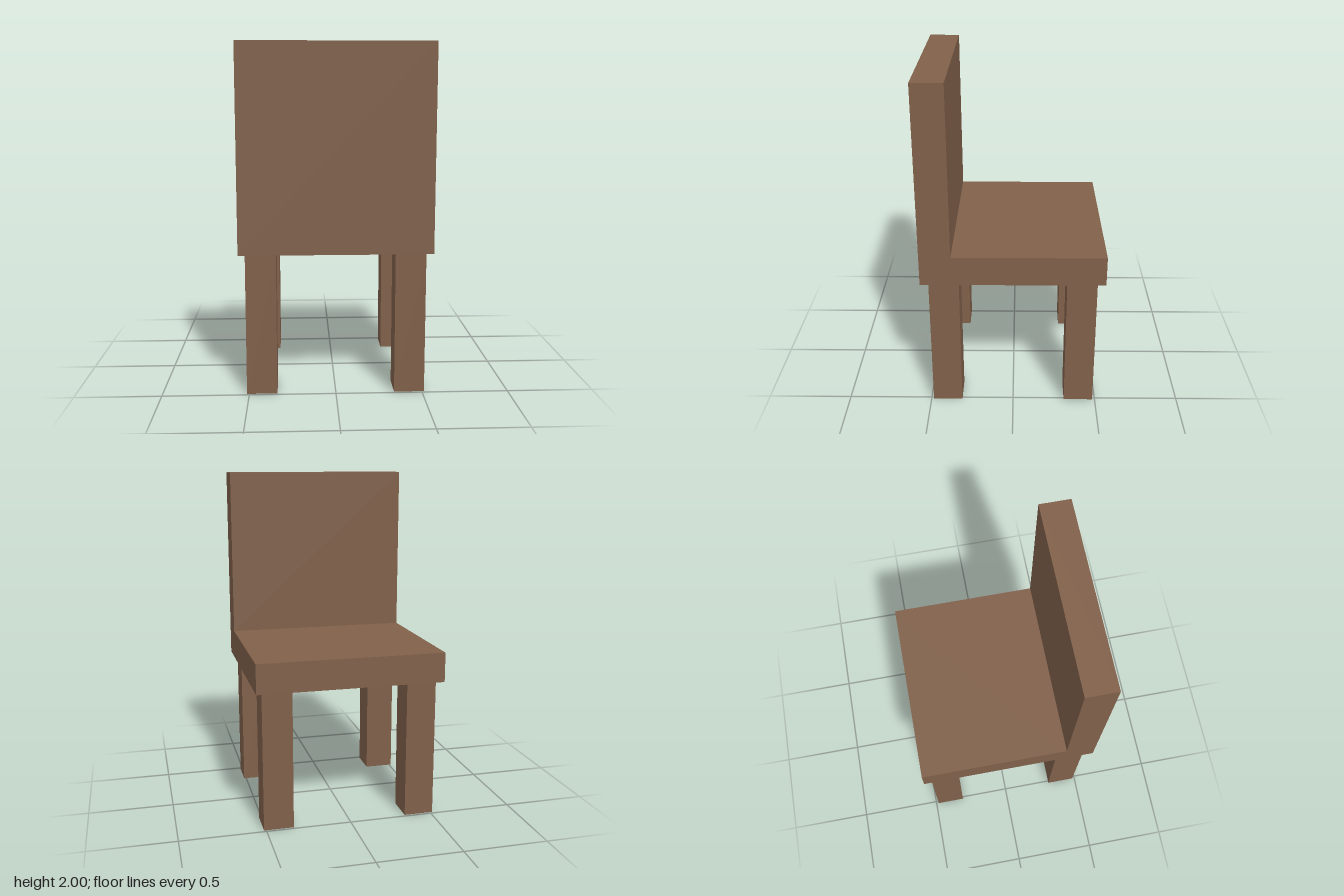
import * as THREE from 'three';

export function createModel() {
  const model = new THREE.Group();
  model.name = 'chair';
  const wood = new THREE.MeshStandardMaterial({ color: 0x80604a, flatShading: true });

  const width = 1.1, halfDepth = 0.53;
  const seatBottom = 0.825, seatTop = 1, backInner = 0.35;

  // Seat and backrest: one L-shaped side profile (z, y) swept across the width
  const profile = new THREE.Shape([
    [-halfDepth, seatBottom], [halfDepth, seatBottom], [halfDepth, 2],
    [backInner, 2], [backInner, seatTop], [-halfDepth, seatTop],
  ].map(([z, y]) => new THREE.Vector2(z, y)));
  const bodyGeometry = new THREE.ExtrudeGeometry(profile, { depth: width, bevelEnabled: false });
  bodyGeometry.translate(0, 0, -width / 2).rotateY(-Math.PI / 2);
  const body = new THREE.Mesh(bodyGeometry, wood);
  body.name = 'seatAndBackrest';
  model.add(body);

  // Four square legs, set in slightly from the seat edges
  const legGeometry = new THREE.BoxGeometry(0.175, seatBottom, 0.175);
  for (const [sideName, sx] of [['Left', 1], ['Right', -1]]) {
    for (const [endName, sz] of [['front', 1], ['back', -1]]) {
      const leg = new THREE.Mesh(legGeometry, wood);
      leg.name = `${endName}${sideName}Leg`;
      leg.position.set(sx * 0.426, seatBottom / 2, sz * 0.398);
      model.add(leg);
    }
  }
  return model;
}
